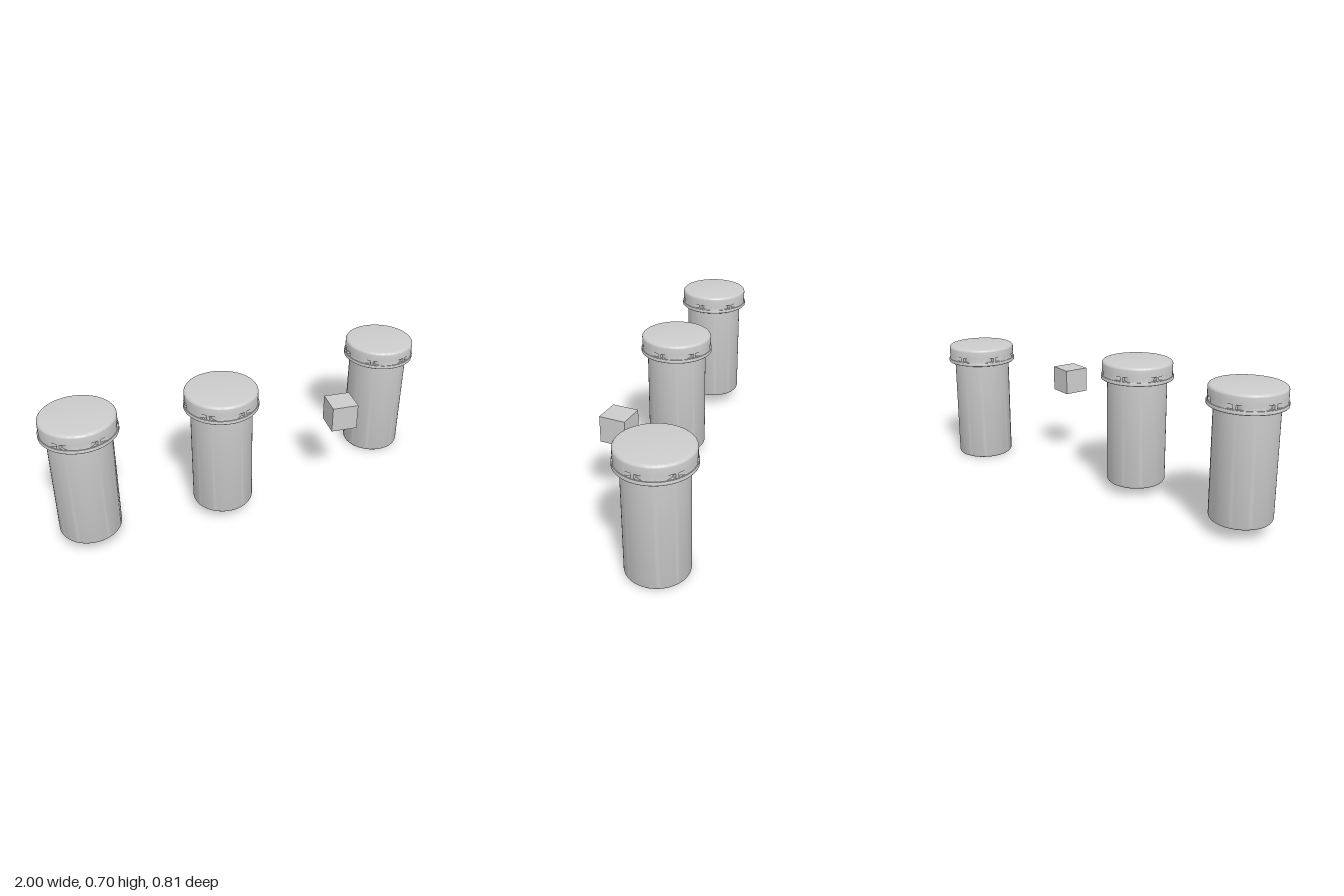
import * as THREE from 'three';
import { toCreasedNormals } from 'three/addons/utils/BufferGeometryUtils.js';

const material = new THREE.MeshStandardMaterial({ color: 0xcccccc, side: THREE.DoubleSide });
const vectors = (pairs) => pairs.map(([r, y]) => new THREE.Vector2(r, y));

// Solid jar body with a rounded foot
function bodyGeometry() {
  const R = 0.149, bevel = 0.016, profile = [[0, 0]];
  for (let i = 0; i <= 5; i++) {
    const a = (i / 5) * Math.PI / 2;
    profile.push([R - bevel + bevel * Math.sin(a), bevel - bevel * Math.cos(a)]);
  }
  profile.push([R, 0.56]);
  return toCreasedNormals(new THREE.LatheGeometry(vectors(profile), 64), 0.6);
}

// Depth of the grip recesses round the lid: deepest beside a small central tab, ramping out to the wall
function recessDepth(angle) {
  const step = Math.PI / 3, phase = THREE.MathUtils.degToRad(26);
  const d = angle - phase;
  const a = Math.abs(d - Math.round(d / step) * step);
  if (a < 0.05) return 0;
  return a < 0.25 ? 0.016 * (0.25 - a) / 0.2 : 0;
}

// Lid with a flange, a band of recesses and a rounded top edge
function lidGeometry() {
  const R = 0.176, low = 0.562, high = 0.583, segments = 240;
  const profile = [
    [0.145, 0.542], [0.179, 0.542], [0.181, 0.544], [0.181, 0.558], [0.18, 0.56], [R, 0.56],
    [R, low], [R, low], [R, high], [R, high], [R, 0.618],
    [0.175, 0.623], [0.172, 0.627], [0.167, 0.63], [0.162, 0.631], [0, 0.631],
  ];
  const geometry = new THREE.LatheGeometry(vectors(profile), segments);
  const p = geometry.attributes.position;
  for (let s = 0; s <= segments; s++) {
    const angle = (s / segments) * Math.PI * 2;
    const r = R - recessDepth(angle);
    for (const row of [7, 8]) {
      const i = s * profile.length + row;
      p.setX(i, r * Math.sin(angle));
      p.setZ(i, r * Math.cos(angle));
    }
  }
  return toCreasedNormals(geometry, 0.6);
}

export function createModel() {
  const model = new THREE.Group();
  const body = bodyGeometry(), lid = lidGeometry();

  const add = (parent, name, geometry) => {
    const mesh = new THREE.Mesh(geometry, material);
    mesh.name = name;
    parent.add(mesh);
    return mesh;
  };

  // Three identical jars at different heights
  const places = { rightJar: [-0.819, 0.066, 0.226], middleJar: [-0.143, 0.049, 0.143], leftJar: [0.819, 0, -0.226] };
  for (const [name, position] of Object.entries(places)) {
    const jar = new THREE.Group();
    jar.name = name;
    add(jar, 'jarBody', body);
    add(jar, 'jarLid', lid);
    jar.position.set(...position);
    model.add(jar);
  }

  // Floating cube
  add(model, 'cube', new THREE.BoxGeometry(0.131, 0.131, 0.131)).position.set(0.47, 0.448, 0.143);
  return model;
}
